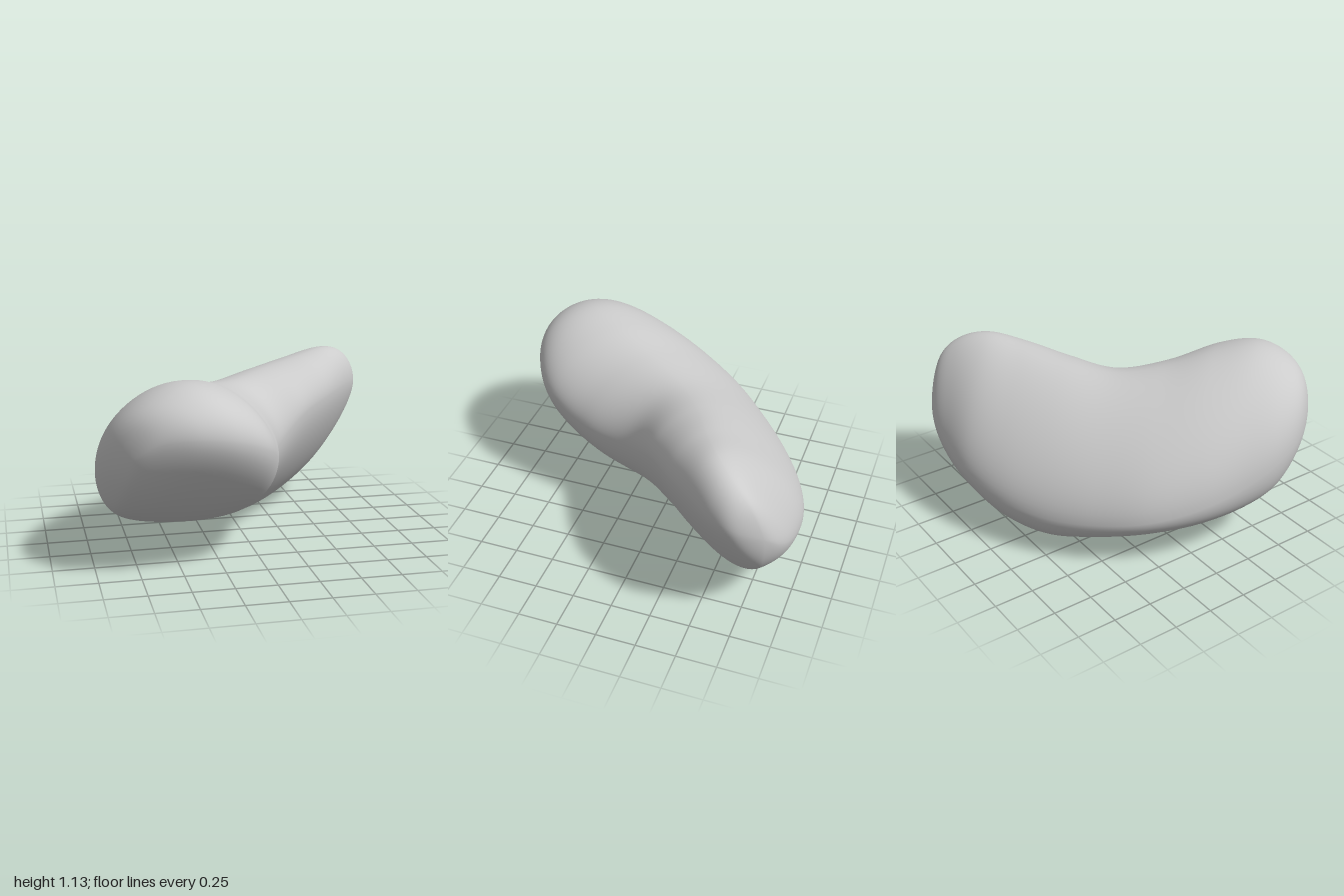
import * as THREE from 'three';
import { mergeVertices } from 'three/addons/utils/BufferGeometryUtils.js';

// Cross-sections along the bean's length t, each given by its four extreme
// points (sideways offset, height): outer, top, inner, bottom
const SECTIONS = [
  [-1.17, -0.04, 0.75, -0.04, 0.75, -0.04, 0.75, -0.04, 0.75],
  [-1.129, 0.18, 0.68, -0.08, 0.95, -0.22, 0.85, 0.06, 0.55],
  [-1.008, 0.365, 0.59, -0.12, 1.07, -0.405, 0.87, 0.2, 0.365],
  [-0.816, 0.52, 0.49, -0.13, 1.13, -0.535, 0.83, 0.27, 0.25],
  [-0.566, 0.67, 0.41, -0.07, 1.1, -0.575, 0.74, 0.29, 0.175],
  [-0.276, 0.765, 0.35, 0.03, 1.025, -0.45, 0.62, 0.28, 0.125],
  [0.037, 0.775, 0.31, 0.09, 0.985, -0.275, 0.61, 0.28, 0.06],
  [0.35, 0.735, 0.3, 0.05, 1.015, -0.272, 0.74, 0.26, 0],
  [0.64, 0.645, 0.34, -0.04, 1.06, -0.295, 0.81, 0.2, 0.045],
  [0.89, 0.505, 0.41, -0.1, 1.09, -0.287, 0.84, 0.11, 0.17],
  [1.082, 0.325, 0.48, -0.1, 1.04, -0.25, 0.83, 0.08, 0.31],
  [1.203, 0.165, 0.58, -0.06, 0.92, -0.165, 0.79, 0.04, 0.49],
  [1.244, 0.01, 0.7, 0.01, 0.7, 0.01, 0.7, 0.01, 0.7],
];
const STEPS = 10, QUARTER = 24, SIDES = QUARTER * 4;
const { lerp } = THREE.MathUtils;

// Past each tip opposite sides swap over, which keeps the ends round
function section(i) {
  const last = SECTIONS.length - 1;
  if (i >= 0 && i <= last) return SECTIONS[i];
  const s = SECTIONS[i < 0 ? -i : 2 * last - i];
  return [s[0], ...s.slice(5), ...s.slice(1, 5)];
}

// Catmull-Rom blend of neighbouring sections
function blend(k, f) {
  const [a, b, c, d] = [-1, 0, 1, 2].map((n) => section(k + n));
  return b.map((p, n) => p + 0.5 * f * (c[n] - a[n]
    + f * (2 * a[n] - 5 * p + 4 * c[n] - d[n] + f * (3 * (p - c[n]) + d[n] - a[n]))));
}

// Smooth closed outline through the four extreme points
function outline(s, along) {
  const points = [];
  // fullness of the four curves between the points, changing around the bend
  const bend = Math.exp(-(((along - 0.42) / 0.15) ** 2));
  const full = [lerp(0.55, 0.25, along), 0.56 - 0.1 * bend, 0.32 + 0.22 * bend, 0.57];
  for (let q = 0; q < 4; q++) {
    const n = (q + 1) % 4;
    const a = new THREE.Vector2(s[1 + q * 2], s[2 + q * 2]);
    const b = new THREE.Vector2(s[1 + n * 2], s[2 + n * 2]);
    const [first, second] = q % 2 ? ['x', 'y'] : ['y', 'x'];
    const h1 = a.clone(), h2 = b.clone();
    h1[first] = lerp(a[first], b[first], full[q]);
    h2[second] = lerp(b[second], a[second], full[q]);
    points.push(...new THREE.CubicBezierCurve(a, h1, h2, b).getPoints(QUARTER).slice(0, -1));
  }
  return points;
}

function beanGeometry() {
  const positions = [], indices = [];
  const rows = (SECTIONS.length - 1) * STEPS;
  for (let i = 0; i <= rows; i++) {
    const k = Math.min(Math.floor(i / STEPS), SECTIONS.length - 2);
    const s = blend(k, i / STEPS - k), t = s[0];
    outline(s, i / rows).forEach(({ x: o, y }, j) => {
      // the length runs diagonally across the ground
      positions.push((t - o) * Math.SQRT1_2, y, -(t + o) * Math.SQRT1_2);
      if (i < rows) {
        const a = i * SIDES + j, b = i * SIDES + ((j + 1) % SIDES);
        indices.push(a, b, a + SIDES, b, b + SIDES, a + SIDES);
      }
    });
  }
  let geometry = new THREE.BufferGeometry();
  geometry.setAttribute('position', new THREE.Float32BufferAttribute(positions, 3));
  geometry.setIndex(indices);
  geometry = mergeVertices(geometry, 1e-5);
  // centre it and stand it on the ground
  geometry.computeBoundingBox();
  const { min, max } = geometry.boundingBox;
  geometry.translate(-(min.x + max.x) / 2, -min.y, -(min.z + max.z) / 2);
  geometry.computeVertexNormals();
  return geometry;
}

export function createModel() {
  const group = new THREE.Group();
  group.name = 'bean';
  const body = new THREE.Mesh(beanGeometry(), new THREE.MeshStandardMaterial({ color: 0xcccccc }));
  body.name = 'beanBody';
  group.add(body);
  return group;
}
